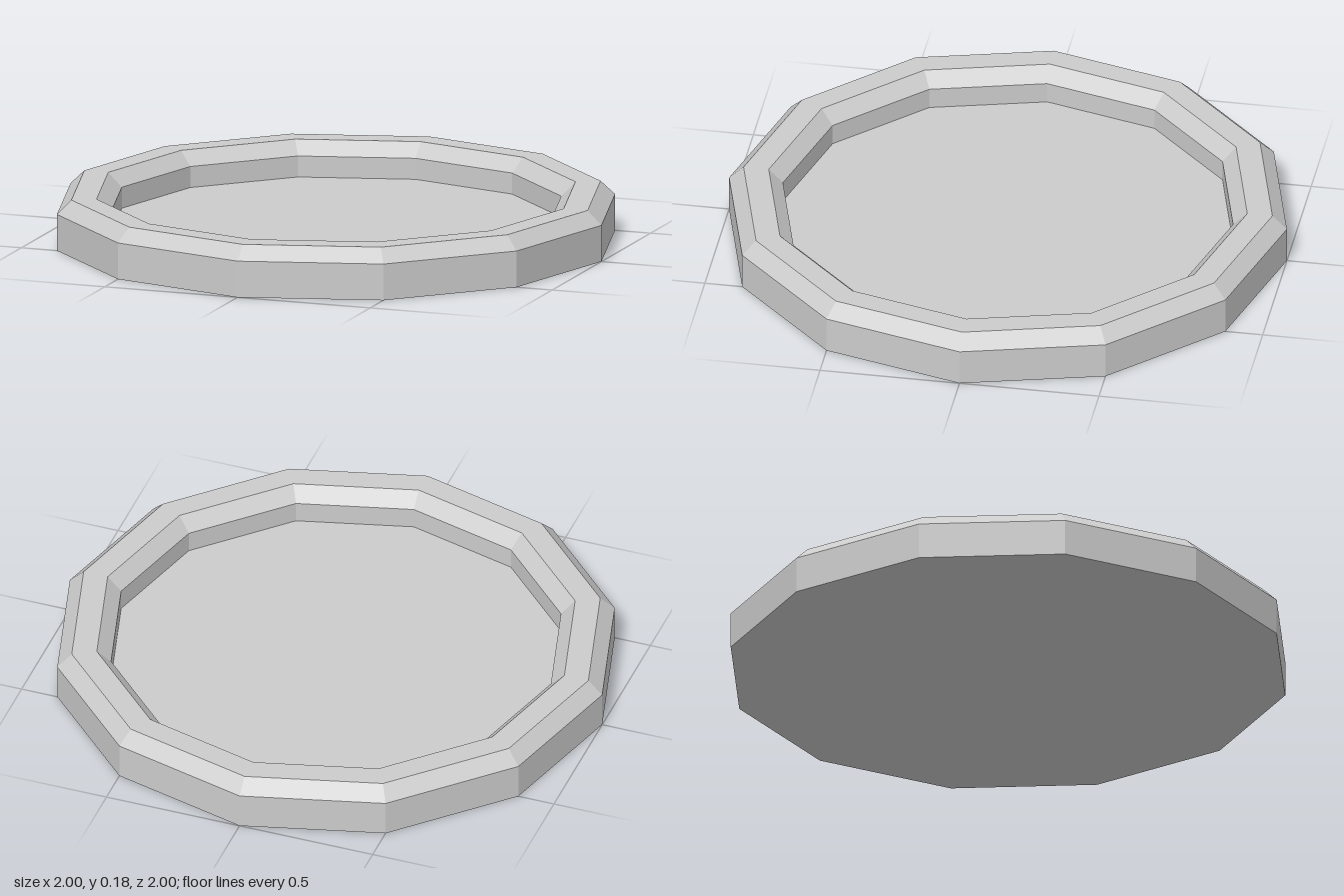
import * as THREE from 'three';

const SIDES = 12;

export function createModel() {
  const group = new THREE.Group();
  group.name = 'tray';
  const material = new THREE.MeshStandardMaterial({ color: 0xcccccc, flatShading: true });

  const addLathe = (name, profile) => {
    const points = profile.map(([r, y]) => new THREE.Vector2(r, y));
    const mesh = new THREE.Mesh(new THREE.LatheGeometry(points, SIDES), material);
    mesh.name = name;
    group.add(mesh);
  };

  const inner = 0.807, floorY = 0.055, bevelY = 0.131, topY = 0.181;

  // Raised rim: underside, outer wall, outer bevel, flat top, inner bevel, inner wall
  addLathe('rim', [
    [inner, 0], [1, 0], [1, bevelY], [0.948, topY],
    [0.858, topY], [inner, bevelY], [inner, floorY],
  ]);

  // Recessed floor and the middle of the underside
  addLathe('floor', [[inner, floorY], [0, floorY]]);
  addLathe('underside', [[0, 0], [inner, 0]]);

  return group;
}
